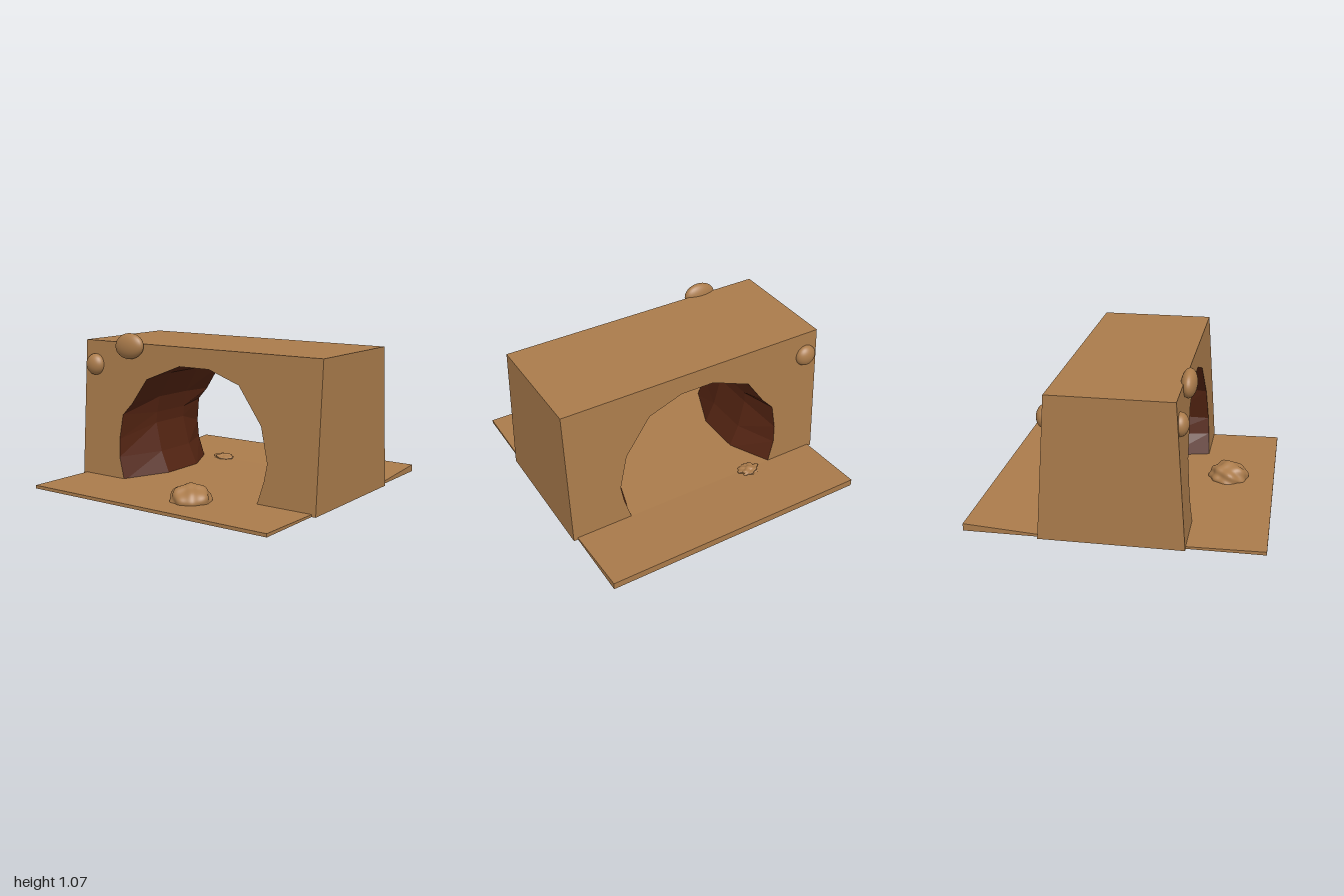
import * as THREE from 'three';
import { mergeVertices } from 'three/addons/utils/BufferGeometryUtils.js';

const sandstone = new THREE.MeshStandardMaterial({ color: 0xaa7b4b });
sandstone.name = 'sandstone';
const darkEarth = new THREE.MeshStandardMaterial({ color: 0x542412, flatShading: true });
darkEarth.name = 'darkEarth';

// Arch outline at the mouths, and deeper inside where the feet lean inwards
const MOUTH = [[-0.6, 0], [-0.65, 0.17], [-0.655, 0.3], [-0.63, 0.48], [-0.545, 0.57], [-0.42, 0.75],
  [-0.13, 0.865], [0.12, 0.865], [0.37, 0.78], [0.56, 0.53], [0.62, 0.29], [0.6, 0.17], [0.55, 0]];
const INNER = [[-0.455, 0], [-0.53, 0.17], [-0.58, 0.38], [-0.575, 0.46], [-0.55, 0.58], [-0.43, 0.77],
  [-0.13, 0.89], [0.12, 0.89], [0.39, 0.8], [0.58, 0.55], [0.63, 0.29], [0.585, 0.15], [0.465, 0]];

// Front and back walls lean inwards with height
const wallZ = (y) => 0.485 - 0.07 * y;

function toShape(points) {
  return new THREE.Shape(points.map(([x, y]) => new THREE.Vector2(x, y)));
}

function wallGeometry(mirror) {
  const outline = [[-1, 0], [-1, 1], [1, 1], [1, 0], ...[...MOUTH].reverse()];
  const geo = new THREE.ShapeGeometry(toShape(outline.map(([x, y]) => [x * mirror, y])));
  const p = geo.attributes.position;
  for (let i = 0; i < p.count; i++) p.setZ(i, wallZ(p.getY(i)));
  geo.computeVertexNormals();
  if (mirror < 0) geo.rotateY(Math.PI);
  return geo;
}

// Tunnel lining lofted from back mouth to front mouth
function liningGeometry() {
  const sections = [[MOUTH, -1], [INNER, -0.4], [INNER, 0.3], [MOUTH, 1]];
  const n = MOUTH.length;
  const pos = [];
  const index = [];
  sections.forEach(([points, t], s) => {
    points.forEach(([x, y], i) => {
      pos.push(x, y, t * wallZ(y));
      if (s < sections.length - 1 && i < n - 1) {
        const a = s * n + i;
        index.push(a, a + 1, a + n, a + 1, a + n + 1, a + n);
      }
    });
  });
  const geo = new THREE.BufferGeometry();
  geo.setAttribute('position', new THREE.Float32BufferAttribute(pos, 3));
  geo.setIndex(index);
  geo.computeVertexNormals();
  return geo;
}

// Lumpy mound: a sphere with rippled radius, squashed into the floor
function moundGeometry(rx, ry, rz, bump) {
  let geo = new THREE.IcosahedronGeometry(1, 14);
  geo.deleteAttribute('normal');
  geo.deleteAttribute('uv');
  geo = mergeVertices(geo);
  const p = geo.attributes.position;
  const v = new THREE.Vector3();
  for (let i = 0; i < p.count; i++) {
    v.fromBufferAttribute(p, i);
    const ripple = Math.sin(7 * v.x + 1) * Math.cos(6 * v.z - 0.5) + 0.6 * Math.sin(9 * v.y + 5 * v.z + 4 * v.x);
    v.multiplyScalar(0.95 + bump * ripple);
    p.setXYZ(i, v.x * rx, Math.max(v.y * ry, -0.005), v.z * rz);
  }
  geo.computeVertexNormals();
  return geo;
}

export function createModel() {
  const group = new THREE.Group();
  const add = (name, geo, x = 0, y = 0, z = 0, mat = sandstone) => {
    const mesh = new THREE.Mesh(geo, mat);
    mesh.name = name;
    mesh.position.set(x, y, z);
    group.add(mesh);
    return mesh;
  };

  // Block with the tunnel mouth in both long walls
  add('frontWall', wallGeometry(1));
  add('backWall', wallGeometry(-1));
  add('roof', new THREE.PlaneGeometry(2, 0.83).rotateX(-Math.PI / 2), 0, 1, 0);
  add('blockUnderside', new THREE.PlaneGeometry(2, 0.97).rotateX(Math.PI / 2), 0, 0.003, 0);
  const endShape = toShape([[-0.485, 0], [0.485, 0], [0.415, 1], [-0.415, 1]]);
  for (const side of [-1, 1]) {
    add(side > 0 ? 'leftEnd' : 'rightEnd',
      new THREE.ShapeGeometry(endShape).rotateY(side * Math.PI / 2), side, 0, 0);
  }
  add('tunnelLining', liningGeometry(), 0, 0, 0, darkEarth);

  // Ground slab, rising gently towards the back
  const slab = toShape([[-1, 0], [1, 0], [1, 0.023], [0.485, 0.016], [-0.485, 0.016], [-1, 0.05]]);
  const slabGeo = new THREE.ExtrudeGeometry(slab, { depth: 1.94, bevelEnabled: false });
  add('groundSlab', slabGeo.rotateY(-Math.PI / 2), 0.97, 0, 0);

  // Pebbles set into the walls
  const pebble = (name, x, y, z, rx, ry, rz, tilt = 0) => {
    const geo = new THREE.SphereGeometry(1, 32, 20).scale(rx, ry, rz);
    add(name, geo, x, y, z).rotation.z = tilt;
  };
  pebble('frontPebble', -0.905, 0.825, 0.43, 0.078, 0.078, 0.056);
  pebble('backPebble', -0.905, 0.825, -0.43, 0.078, 0.078, 0.054);
  pebble('rimBoulder', -0.565, 0.98, 0.442, 0.124, 0.092, 0.054, 0.12);

  // Rubble on the ground
  add('frontRubble', moundGeometry(0.15, 0.125, 0.148, 0.06), 0.15, 0.012, 0.67);
  add('backRubble', moundGeometry(0.085, 0.035, 0.065, 0.13), -0.42, 0.012, -0.5);
  return group;
}
